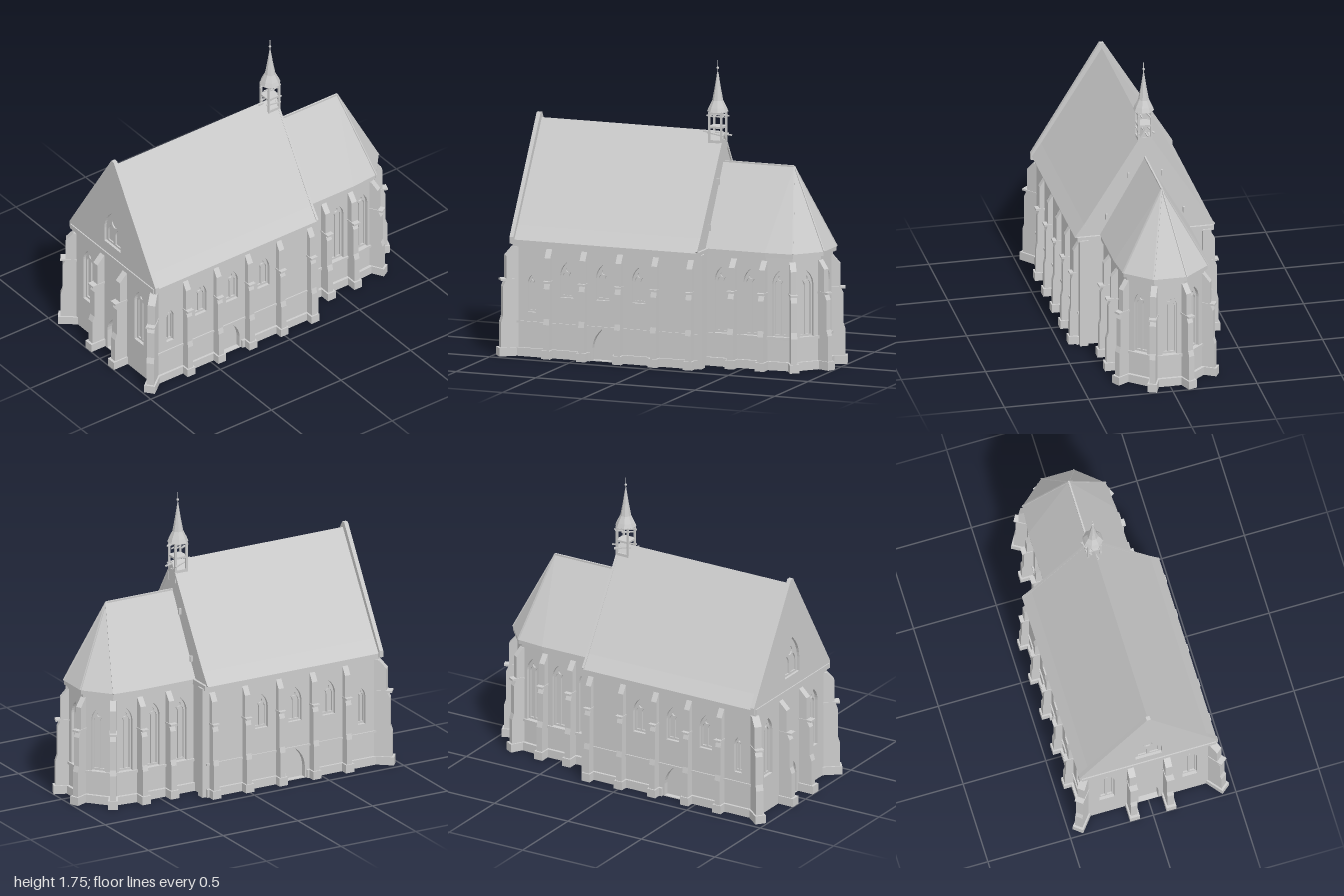
import * as THREE from 'three';

const stone = new THREE.MeshStandardMaterial({ color: 0xcccccc, flatShading: true });
stone.name = 'pale stone';

function add(parent, name, geometry, x = 0, y = 0, z = 0) {
  const mesh = new THREE.Mesh(geometry, stone);
  mesh.name = name;
  mesh.position.set(x, y, z);
  parent.add(mesh);
  return mesh;
}
const box = (p, name, w, h, d, x, y, z) => add(p, name, new THREE.BoxGeometry(w, h, d), x, y, z);
const polygon = pts => new THREE.Shape(pts.map(p => new THREE.Vector2(p[0], p[1])));
const extrude = (shape, depth) =>
  new THREE.ExtrudeGeometry(shape, { depth, bevelEnabled: false, curveSegments: 6 });

// Horizontal slab from an outline of [x, z] points
function slab(parent, name, outline, y0, y1) {
  const g = extrude(polygon(outline.map(([x, z]) => [x, -z])), y1 - y0);
  add(parent, name, g.rotateX(-Math.PI / 2), 0, y0, 0);
}

// Pointed arch outline
function arch(cx, y0, y1, w, S = THREE.Shape) {
  const h = w / 2, spring = y1 - w * 0.95, s = new S();
  s.moveTo(cx - h, y0);
  s.lineTo(cx + h, y0);
  s.lineTo(cx + h, spring);
  s.quadraticCurveTo(cx + h * 0.95, spring + w * 0.55, cx, y1);
  s.quadraticCurveTo(cx - h * 0.95, spring + w * 0.55, cx - h, spring);
  s.closePath();
  return s;
}

// Tracery with two lancets and a round eye
function tracery(cx, y0, y1, w) {
  const s = arch(cx, y0, y1, w);
  for (const k of [-1, 1])
    s.holes.push(arch(cx + k * w * 0.22, y0 + 0.012, y1 - w * 0.72, w * 0.32, THREE.Path));
  const eye = new THREE.Path();
  eye.absarc(cx, y1 - w * 0.56, w * 0.17, 0, Math.PI * 2);
  s.holes.push(eye);
  return s;
}

// Wall from a to b ([x, z]), outside on the right hand, with window and door openings
function wall(parent, name, a, b, height, openings = []) {
  const g = new THREE.Group(), t = 0.035;
  g.name = name;
  const dx = b[0] - a[0], dz = b[1] - a[1], L = Math.hypot(dx, dz);
  const s = polygon([[0, 0], [L, 0], [L, height], [0, height]]);
  for (const o of openings) {
    s.holes.push(arch(o.c, o.y0, o.y1, o.w, THREE.Path));
    box(g, 'pane', o.w + 0.02, o.y1 - o.y0 + 0.01, 0.006, o.c, (o.y0 + o.y1) / 2, -t);
    if (!o.door) add(g, 'tracery', extrude(tracery(o.c, o.y0, o.y1, o.w), 0.01), 0, 0, -t + 0.006);
  }
  add(g, 'wallFace', extrude(s, t), 0, 0, -t);
  g.position.set(a[0], 0, a[1]);
  g.rotation.y = Math.atan2(-dz, dx);
  parent.add(g);
}

// Stepped buttress at [x, z], projecting along [dx, dz]
function buttress(parent, x, z, dx, dz, reach = 0.06, w = 0.036) {
  const g = new THREE.Group(), r = reach;
  g.name = 'buttress';
  const shaft = polygon([[-0.03, 0], [r * 0.85, 0], [r * 0.85, 0.2], [r * 0.72, 0.235],
    [r * 0.72, 0.41], [r * 0.5, 0.45], [r * 0.5, 0.59], [0, 0.64], [-0.03, 0.64]]);
  add(g, 'shaft', extrude(shaft, w), 0, 0, -w / 2);
  box(g, 'foot', r + 0.03, 0.05, w + 0.02, r / 2 - 0.015, 0.025, 0);
  box(g, 'weathering', r * 0.8 + 0.03, 0.012, w + 0.008, r * 0.4 - 0.01, 0.45, 0);
  g.position.set(x, 0, z);
  g.rotation.y = Math.atan2(-dz, dx);
  parent.add(g);
}

// Beam between two points
function beam(parent, name, a, b, t) {
  const p = new THREE.Vector3(...a), q = new THREE.Vector3(...b);
  const m = box(parent, name, t, t, p.distanceTo(q), 0, 0, 0);
  m.position.copy(p).add(q).multiplyScalar(0.5);
  m.lookAt(q);
}

const X0 = -0.9, X1 = 0.26, NZ = 0.39;

function choirOutline(o) {
  const half = [[0.2, 0.245 + o], [0.63, 0.245 + o], [0.79 + o * 0.5, 0.23 + o], [0.91 + o, 0.09 + o * 0.4]];
  return [...half, ...half.map(([x, z]) => [x, -z]).reverse()];
}
const naveOutline = o => [[X0 - o, NZ + o], [X1 + o, NZ + o], [X1 + o, -NZ - o], [X0 - o, -NZ - o]];

function buildNave(root) {
  const nave = new THREE.Group();
  nave.name = 'nave';
  root.add(nave);
  const side = sign => {
    const at = x => sign > 0 ? x - X0 : X1 - x;
    return [
      ...[-0.56, -0.335, -0.11].map(x => ({ c: at(x), y0: 0.36, y1: 0.57, w: 0.085 })),
      { c: at(-0.78), y0: 0.26, y1: 0.48, w: 0.05 },
      { c: at(-0.34), y0: 0.005, y1: 0.19, w: 0.12, door: true }];
  };
  wall(nave, 'southWall', [X0, NZ], [X1, NZ], 0.68, side(1));
  wall(nave, 'eastWall', [X1, NZ], [X1, -NZ], 0.68);
  wall(nave, 'northWall', [X1, -NZ], [X0, -NZ], 0.68, side(-1));
  wall(nave, 'westWall', [X0, -NZ], [X0, NZ], 0.68,
    [0.14, 0.64].map(c => ({ c, y0: 0.22, y1: 0.58, w: 0.09 }))
      .concat({ c: NZ, y0: 0.005, y1: 0.24, w: 0.12, door: true }));
  slab(nave, 'floor', naveOutline(0), 0, 0.004);
  slab(nave, 'cornice', naveOutline(0.015), 0.66, 0.69);
  for (const s of [-1, 1]) {
    box(nave, 'stringCourse', X1 - X0, 0.012, 0.016, (X0 + X1) / 2, 0.2, s * NZ);
    for (const [a, b] of [[X0, -0.41], [-0.27, X1]])
      box(nave, 'plinth', b - a, 0.05, 0.03, (a + b) / 2, 0.025, s * NZ);
    for (const x of [-0.67, -0.45, -0.225, 0, 0.22]) buttress(nave, x, s * NZ, 0, s);
    buttress(nave, X0, s * NZ, -0.8, s * 0.65, 0.09, 0.045);
    buttress(nave, X0, s * 0.11, -1, 0, 0.1, 0.04);
    box(nave, 'eastPier', 0.05, 0.67, 0.05, X1, 0.335, s * 0.365);
  }

  // Steep roof, slightly flared at the eaves
  const section = [[-0.415, 0.685], [0.415, 0.685], [0.36, 0.765], [0, 1.335], [-0.36, 0.765]];
  add(nave, 'naveRoof', extrude(polygon(section), X1 - X0 - 0.02).rotateY(Math.PI / 2), X0 + 0.02, 0, 0);

  // West gable with a pointed recess and raised coping
  const gable = polygon([[-0.42, 0.66], [0.42, 0.66], [0.42, 0.7], [0.365, 0.79], [0.012, 1.365],
    [-0.012, 1.365], [-0.365, 0.79], [-0.42, 0.7]]);
  gable.holes.push(arch(0, 0.76, 1.0, 0.16, THREE.Path));
  add(nave, 'westGable', extrude(gable, 0.025).rotateY(Math.PI / 2), X0 - 0.008, 0, 0);
  add(nave, 'gableTracery', extrude(tracery(0, 0.76, 1.0, 0.16), 0.008).rotateY(Math.PI / 2), X0 + 0.008, 0, 0);

  // East verge and small putlog stones
  for (const s of [-1, 1]) {
    beam(nave, 'verge', [X1, 1.325, 0], [X1, 0.765, s * 0.356], 0.014);
    beam(nave, 'verge', [X1, 0.765, s * 0.356], [X1, 0.69, s * 0.41], 0.014);
    for (const [y, z] of [[1.055, 0.1], [0.805, 0.23]])
      box(nave, 'putlogStone', 0.02, 0.035, 0.012, X1 + 0.006, y, s * z);
  }
}

function buildChoir(root) {
  const choir = new THREE.Group();
  choir.name = 'choir';
  root.add(choir);
  const pts = choirOutline(0);
  for (let i = 0; i < pts.length - 1; i++) {
    const a = pts[i], b = pts[i + 1], L = Math.hypot(b[0] - a[0], b[1] - a[1]);
    const centres = i === 0 ? [0.15, 0.33] : i === 6 ? [L - 0.33, L - 0.15] : [L / 2];
    wall(choir, 'choirWall', a, b, 0.68, centres.map(c => ({ c, y0: 0.195, y1: 0.585, w: 0.085 })));
  }
  slab(choir, 'plinth', choirOutline(0.018), 0, 0.05);
  slab(choir, 'sillCourse', choirOutline(0.01), 0.18, 0.195);
  slab(choir, 'cornice', choirOutline(0.02), 0.665, 0.692);
  for (const s of [-1, 1]) {
    buttress(choir, 0.43, s * 0.245, 0, s, 0.08);
    buttress(choir, 0.62, s * 0.245, 0, s, 0.08);
    buttress(choir, 0.79, s * 0.23, 0.5, s * 0.85, 0.085);
    buttress(choir, 0.91, s * 0.09, 0.93, s * 0.37, 0.085);
  }

  // Ridge roof ending in a faceted hip
  const eave = choirOutline(0.022).map(([x, z]) => [x, 0.69, z]);
  const start = [0.2, 1.16, 0], apex = [0.705, 1.16, 0], v = [];
  for (let i = 0; i < eave.length - 1; i++) v.push(...eave[i], ...eave[i + 1], ...apex);
  v.push(...eave[0], ...apex, ...start, ...eave[7], ...start, ...apex);
  const g = new THREE.BufferGeometry();
  g.setAttribute('position', new THREE.Float32BufferAttribute(v, 3));
  g.computeVertexNormals();
  add(choir, 'choirRoof', g);
  for (const e of eave.slice(2, 6)) beam(choir, 'hipRib', e, apex, 0.008);
  beam(choir, 'ridgeTile', start, apex, 0.01);
}

function buildBelfry(root) {
  const b = new THREE.Group();
  b.name = 'belfry';
  b.position.set(0.224, 0, 0);
  root.add(b);
  const r = 0.037;
  box(b, 'base', 0.084, 0.07, 0.084, 0, 1.25, 0);
  box(b, 'deck', 0.084, 0.012, 0.084, 0, 1.36, 0);
  box(b, 'topPlate', 0.084, 0.012, 0.084, 0, 1.446, 0);
  // Corner posts and braces, one side at a time
  for (let i = 0; i < 4; i++) {
    const side = new THREE.Group();
    side.name = 'belfrySide';
    side.rotation.y = i * Math.PI / 2;
    b.add(side);
    box(side, 'post', 0.011, 0.24, 0.011, r, 1.33, r);
    beam(side, 'brace', [-r, 1.285, r], [r, 1.355, r], 0.007);
    beam(side, 'brace', [r, 1.285, r], [-r, 1.355, r], 0.007);
    beam(side, 'bracket', [-r, 1.405, r], [-0.008, 1.443, r], 0.007);
    beam(side, 'bracket', [r, 1.405, r], [0.008, 1.443, r], 0.007);
  }
  // Flared eight-sided spire with finial
  const profile = [[0, 1.45], [0.062, 1.45], [0.052, 1.475], [0.032, 1.515], [0.018, 1.59], [0.004, 1.68], [0, 1.68]];
  const spire = new THREE.LatheGeometry(profile.map(p => new THREE.Vector2(...p)), 8);
  add(b, 'spire', spire.rotateY(Math.PI / 8));
  add(b, 'finialRod', new THREE.CylinderGeometry(0.002, 0.003, 0.09, 6), 0, 1.705, 0);
  add(b, 'finialBall', new THREE.SphereGeometry(0.008, 8, 6), 0, 1.705, 0);
}

export function createModel() {
  const church = new THREE.Group();
  church.name = 'church';
  buildNave(church);
  buildChoir(church);
  buildBelfry(church);
  return church;
}
